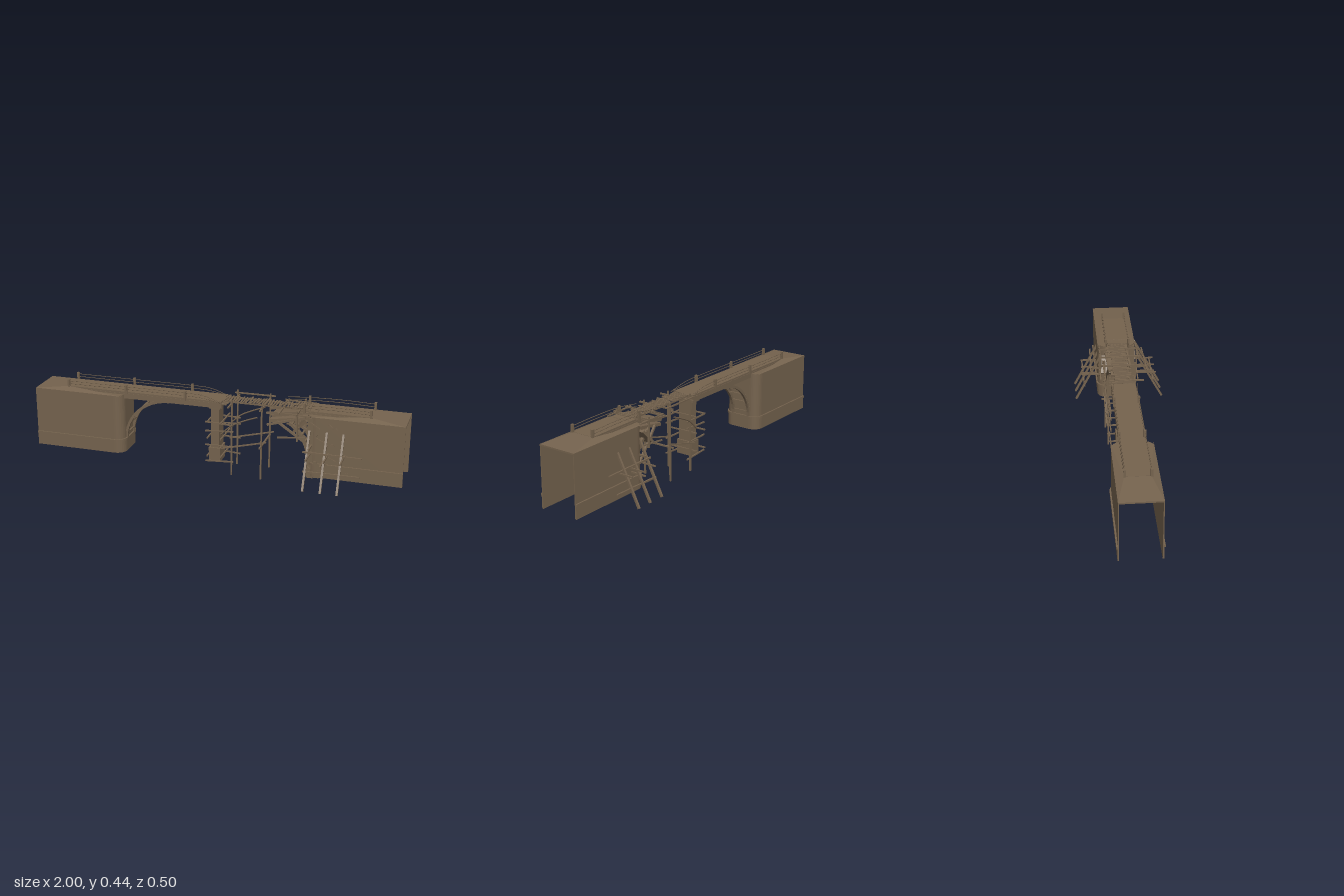
import * as THREE from 'three';

const stone = new THREE.MeshStandardMaterial({ color: 0x75634e, side: THREE.DoubleSide });
stone.name = 'weathered brown';
const ZC = -0.015; // centre line of the bridge
const RAILS = [0.05, -0.075];

let seed = 7;
const rnd = (a, b) => {
  seed = (seed * 16807) % 2147483647;
  return a + (b - a) * (seed / 2147483647);
};

function add(parent, name, geo) {
  const m = new THREE.Mesh(geo, stone);
  m.name = name;
  parent.add(m);
  return m;
}

// Box given by its limits on each axis
function block(parent, name, x0, x1, y0, y1, z0, z1) {
  const m = add(parent, name, new THREE.BoxGeometry(x1 - x0, y1 - y0, z1 - z0));
  m.position.set((x0 + x1) / 2, (y0 + y1) / 2, (z0 + z1) / 2);
  return m;
}

// Square timber between two points
function bar(parent, name, a, b, t = 0.008, w = t) {
  const p = new THREE.Vector3(...a), q = new THREE.Vector3(...b);
  const m = add(parent, name, new THREE.BoxGeometry(w, t, p.distanceTo(q)));
  m.position.copy(p).add(q).multiplyScalar(0.5);
  m.lookAt(q);
  return m;
}

function rope(parent, name, pts, r = 0.0018) {
  const c = new THREE.CatmullRomCurve3(pts.map(p => new THREE.Vector3(...p)));
  return add(parent, name, new THREE.TubeGeometry(c, 20, r, 5));
}

// U-shaped wall in plan with rounded inner corners, open at the outer end
function shell(parent, name, y0, y1, out) {
  const s = new THREE.Shape();
  const u = (o, first) => {
    const x = 0.5 - o, h = 0.105 + o, r = 0.05 + o;
    const arc = (cy, a0, a1) => Array.from({ length: 9 }, (_, i) => {
      const a = a0 + (a1 - a0) * i / 8;
      return [x + r + Math.cos(a) * r, cy + Math.sin(a) * r];
    });
    return [[1, h], ...arc(h - r, Math.PI / 2, Math.PI), ...arc(r - h, Math.PI, Math.PI * 1.5), [1, -h]];
  };
  const pts = [...u(out), ...u(-0.005).reverse()];
  s.setFromPoints(pts.map(p => new THREE.Vector2(...p)));
  const g = new THREE.ExtrudeGeometry(s, { depth: y1 - y0, bevelEnabled: false });
  g.rotateX(-Math.PI / 2).translate(0, y0, 0);
  return add(parent, name, g);
}

// Ramp narrowing from the full width to the deck, over a flat roof
function roof(parent) {
  const s = new THREE.Shape();
  s.moveTo(1, 0.105).lineTo(0.55, 0.105).absarc(0.55, 0.055, 0.05, Math.PI / 2, Math.PI, false);
  s.lineTo(0.5, -0.055).absarc(0.55, -0.055, 0.05, Math.PI, Math.PI * 1.5, false).lineTo(1, -0.105);
  const g = new THREE.ExtrudeGeometry(s, { depth: 0.008, bevelEnabled: false, curveSegments: 8 });
  add(parent, 'abutmentRoof', g.rotateX(-Math.PI / 2).translate(0, 0.381, 0));
  const v = [1, 0.389, 0.105, 1, 0.389, -0.105, 0.82, 0.404, -0.063, 0.82, 0.404, 0.063, 0.5, 0.389, 0.105, 0.5, 0.389, -0.105];
  const ramp = new THREE.BufferGeometry();
  ramp.setAttribute('position', new THREE.Float32BufferAttribute(v, 3));
  ramp.setIndex([0, 1, 2, 0, 2, 3, 0, 3, 4, 1, 5, 2]);
  const flat = ramp.toNonIndexed();
  flat.computeVertexNormals();
  add(parent, 'approachRamp', flat);
}

function abutment(parent, side) {
  const g = new THREE.Group();
  g.name = side > 0 ? 'leftAbutment' : 'rightAbutment';
  shell(g, 'abutmentWall', 0.065, 0.384, 0);
  shell(g, 'abutmentFooting', 0.065, 0.132, 0.003);
  shell(g, 'abutmentBelt', 0.13, 0.142, 0.008);
  roof(g);
  g.position.z = ZC;
  if (side < 0) g.rotation.y = Math.PI;
  parent.add(g);
}

// Deck slab with edge beams and a shallow soffit
function deck(parent, x0, x1) {
  block(parent, 'deckSlab', x0, x1, 0.388, 0.405, -0.075, 0.05);
  for (const z of [0.044, -0.069]) block(parent, 'edgeBeam', x0, x1, 0.368, 0.396, z - 0.008, z + 0.008);
}

// Twin quarter-arch ribs with cross ties; end limits how much survives
function arch(parent, side, end) {
  const at = t => [side * (0.5 - 0.25 * (1 - Math.cos(t))), 0.135 + 0.235 * Math.sin(t)];
  const n = 12;
  for (let i = 0; i < n; i++) {
    const p = at(i / n * end), q = at((i + 1) / n * end);
    for (const z of [0.035, -0.065]) bar(parent, 'archRib', [...p, z], [...q, z], 0.014, 0.014);
    if (i % 2) bar(parent, 'archTie', [...p, 0.035], [...p, -0.065], 0.009);
  }
}

export function createModel() {
  const root = new THREE.Group();
  root.name = 'ruinedBridge';
  abutment(root, -1);
  abutment(root, 1);
  deck(root, -0.82, 0.04);
  deck(root, 0.5, 0.82);
  arch(root, -1, Math.PI / 2);
  arch(root, 1, 0.95);

  // Railings: posts and slack wires
  for (const z of RAILS) {
    for (const x of [-0.82, -0.49, -0.16, 0.48, 0.82])
      block(root, 'railPost', x - 0.006, x + 0.006, 0.39, 0.443, z - 0.006, z + 0.006);
    for (const y of [0.419, 0.434]) {
      rope(root, 'railWire', [[-0.82, y, z], [-0.49, y, z], [-0.16, y, z], [-0.06, y - 0.004, z], [0.05, 0.4, z + 0.012]]);
      rope(root, 'railWire', [[0.82, y, z], [0.65, y + 0.004, z], [0.48, y, z], [0.36, y - 0.012, z - 0.01]]);
    }
  }

  // Central pier
  block(root, 'pierShaft', -0.024, 0.02, 0.07, 0.372, -0.05, 0.03);
  block(root, 'pierBase', -0.034, 0.028, 0.06, 0.138, -0.058, 0.038);
  block(root, 'pierCap', -0.03, 0.03, 0.358, 0.375, -0.068, 0.043);

  // Makeshift walkway across the gap
  for (const z of [0.022, -0.05]) bar(root, 'walkwayStringer', [0.03, 0.4, z], [0.52, 0.4, z], 0.007);
  for (let x = 0.05; x < 0.5; x += 0.0145) {
    const m = block(root, 'walkwayPlank', x - 0.0045, x + 0.0045, 0.405, 0.409, -0.06 + rnd(-0.01, 0.01), 0.032 + rnd(-0.01, 0.01));
    m.rotation.set(rnd(-0.06, 0.06), rnd(-0.15, 0.15), 0);
  }
  // Splintered deck edges
  for (let i = 0; i < 9; i++) {
    const z = -0.07 + i * 0.0145;
    bar(root, 'brokenBoard', [-0.04, 0.402, z], [rnd(0.045, 0.075), rnd(0.385, 0.403), z], 0.006, 0.011);
    bar(root, 'brokenBoard', [0.55, 0.403, z], [rnd(0.41, 0.49), rnd(0.375, 0.4), z], 0.006, 0.011);
  }

  // Collapsed deck slabs and hanging timbers
  bar(root, 'fallenSlab', [0.29, 0.315, -0.025], [0.5, 0.35, -0.03], 0.016, 0.07);
  bar(root, 'fallenSlab', [0.3, 0.345, -0.03], [0.52, 0.39, -0.02], 0.014, 0.09);
  const plate = block(root, 'tiltedSlab', 0.44, 0.453, 0.25, 0.35, -0.105, 0.005);
  plate.rotation.set(0.08, 0, -0.75);
  for (const [x0, y0, x1, y1, z] of [
    [0.28, 0.37, 0.5, 0.39, 0.045], [0.28, 0.3, 0.48, 0.355, 0.03], [0.27, 0.355, 0.46, 0.375, -0.07],
    [0.33, 0.32, 0.5, 0.2, 0.02], [0.36, 0.34, 0.5, 0.25, -0.03], [0.35, 0.33, 0.49, 0.17, -0.07]])
    bar(root, 'hangingTimber', [x0, y0, z], [x1, y1, z - 0.01], 0.011);

  // Layered fracture inside the damaged abutment
  const edge = [[-0.025, 0.058], [-0.028, 0.09], [-0.008, 0.14], [0, 0.19], [0.012, 0.23], [0.03, 0.26], [0.025, 0.31], [0.045, 0.345], [0.04, 0.382]];
  for (let k = 0; k < 3; k++) {
    const s = new THREE.Shape();
    s.moveTo(-0.088, 0.055 + k * 0.004);
    edge.forEach(([z, y]) => s.lineTo(-(z + k * 0.015 + rnd(-0.003, 0.003)), y));
    s.lineTo(-0.088, 0.382);
    const g = new THREE.ExtrudeGeometry(s, { depth: 0.035, bevelEnabled: false });
    add(root, 'fractureLayer', g.rotateY(Math.PI / 2).translate(0.505 + k * 0.032, 0, 0));
  }
  // Cracked facing stones on the front and inner faces
  const crack = [[0.52, 0.36], [0.57, 0.33], [0.55, 0.28], [0.61, 0.25], [0.6, 0.19], [0.66, 0.16], [0.69, 0.11], [0.74, 0.1]];
  for (let i = 0; i < crack.length - 1; i++)
    bar(root, 'crackEdge', [...crack[i], 0.091], [...crack[i + 1], 0.091], 0.006);
  for (let i = 0; i < 8; i++) {
    const m = add(root, 'looseStone', new THREE.BoxGeometry(0.02, 0.014, 0.012));
    m.position.set(rnd(0.5, 0.68), rnd(0.08, 0.36), 0.092);
    m.rotation.z = rnd(-0.8, 0.8);
  }

  // Scaffold around the pier and the gap
  for (const [x, z, y0, y1] of [[0.093, 0.045, 0, 0.42], [0.085, -0.092, 0.005, 0.43], [0.26, 0.07, 0.006, 0.41], [0.262, -0.097, 0.006, 0.425]])
    bar(root, 'scaffoldPost', [x, y0, z], [x + 0.002, y1, z], 0.008);
  for (const y of [0.075, 0.165, 0.238, 0.283])
    for (const z of [0.052, -0.085])
      bar(root, 'scaffoldRail', [-0.048, y + rnd(-0.008, 0.008), z], [0.105, y + rnd(-0.008, 0.008), z], 0.007);
  for (const x of [-0.035, 0.04])
    for (const y of [0.1, 0.2, 0.29])
      bar(root, 'scaffoldTie', [x, y, 0.065], [x, y, -0.1], 0.007);
  for (const [x, y] of [[0.09, 0.395], [0.26, 0.395], [0.26, 0.19]])
    bar(root, 'scaffoldTie', [x, y, 0.1], [x, y, -0.115], 0.008);
  for (const z of [0.062, -0.1]) {
    bar(root, 'scaffoldBrace', [0.04, 0.15, z], [0.285, 0.212, z], 0.007);
    rope(root, 'bentRod', [[0.04, 0.23, z], [0.1, 0.285, z], [0.17, 0.32, z], [0.235, 0.345, z]], 0.004);
  }
  bar(root, 'scaffoldRail', [0.07, 0.41, -0.102], [0.29, 0.41, -0.106], 0.007);

  // Leaning props on both sides of the damaged abutment
  for (const [s, w] of [[1, 0.1], [-1, 0.105]]) {
    for (const x of [0.52, 0.61, 0.695]) {
      bar(root, 'leaningProp', [x, 0.32, s * w], [x + 0.004, 0.047, s * 0.247], 0.011);
      bar(root, 'propTie', [x + 0.008, 0.2, s * 0.09], [x + 0.008, 0.2, s * 0.212], 0.007);
    }
    bar(root, 'propTie', [0.6, 0.171, s * 0.09], [0.6, 0.171, s * 0.208], 0.008);
    bar(root, 'propTie', [0.53, 0.238, s * 0.09], [0.53, 0.238, s * 0.157], 0.008);
    bar(root, 'propRail', [0.5, 0.225, s * 0.16], [0.8, 0.218, s * 0.152], 0.008);
    bar(root, 'propRail', [0.51, 0.135, s * 0.198], [0.8, 0.138, s * 0.2], 0.008);
    // Uprights and rails against the inner corner
    const z = s > 0 ? 0.092 : -0.113;
    bar(root, 'cornerRail', [0.34, 0.395, z], [0.52, 0.39, z], 0.007);
    bar(root, 'cornerRail', [0.35, 0.26, z], [0.5, 0.275, z], 0.007);
    bar(root, 'cornerUpright', [0.455, 0.25, z], [0.45, 0.41, z], 0.008);
  }
  for (const x of [0.36, 0.45]) bar(root, 'cornerTie', [x, 0.395, 0.11], [x, 0.395, -0.12], 0.008);
  return root;
}
